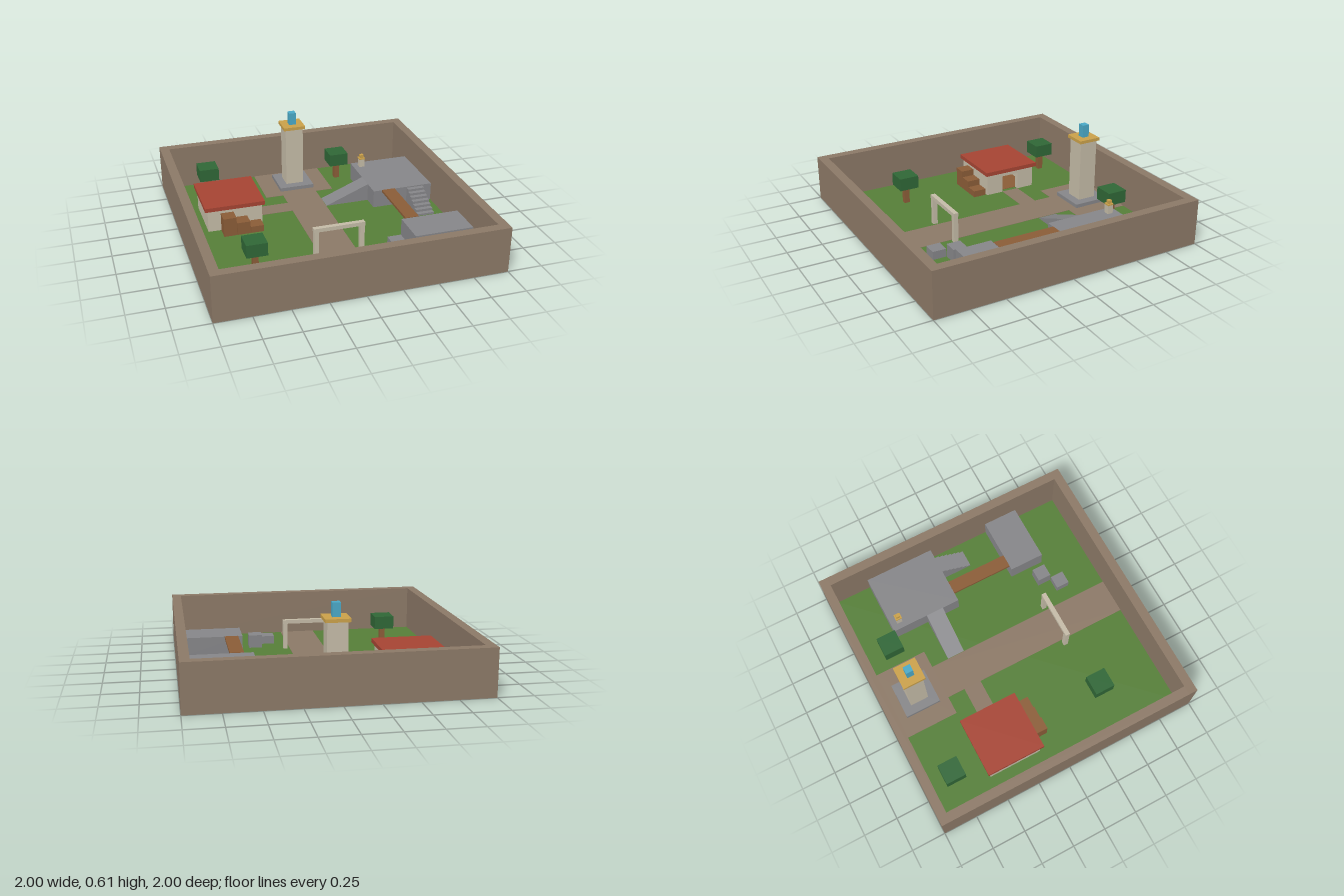
import * as THREE from 'three';

const flat = (name, color) => {
  const m = new THREE.MeshStandardMaterial({ color });
  m.name = name;
  return m;
};

export function createModel() {
  const earth = flat('earth brown', 0x8b7866);
  const grass = flat('grass green', 0x557e38);
  const stone = flat('stone grey', 0x858588);
  const roofRed = flat('roof red', 0xa54433);
  const wood = flat('wood brown', 0x8a5c37);
  const gold = flat('gold', 0xc9a049);
  const crystalBlue = flat('crystal blue', 0x4aa8c6);
  const plaster = flat('pale plaster', 0xc3baa6);
  const leaf = flat('leaf green', 0x2f6636);

  const model = new THREE.Group();
  model.name = 'walledGarden';

  // Box given by its lower and upper limits on each axis
  const box = (name, mat, x0, x1, y0, y1, z0, z1, parent = model) => {
    const mesh = new THREE.Mesh(new THREE.BoxGeometry(x1 - x0, y1 - y0, z1 - z0), mat);
    mesh.position.set((x0 + x1) / 2, (y0 + y1) / 2, (z0 + z1) / 2);
    mesh.name = name;
    parent.add(mesh);
    return mesh;
  };
  // Square-based box standing on y0
  const block = (name, mat, x, z, w, y0, y1, parent = model) =>
    box(name, mat, x - w / 2, x + w / 2, y0, y1, z - w / 2, z + w / 2, parent);
  const group = (name) => {
    const g = new THREE.Group();
    g.name = name;
    model.add(g);
    return g;
  };

  const IN = 0.933, WALL = 0.333, LOW = 0.002, DECK = 0.137;

  // Ground, paths and boundary walls
  box('lawn', grass, -IN, IN, 0.001, 0.003, -IN, IN);
  box('mainPath', earth, -0.133, 0.133, 0, 0.005, -0.533, IN);
  box('shrinePath', earth, -0.267, 0.267, 0, 0.005, -IN, -0.533);
  box('housePath', earth, -0.4, -0.133, 0, 0.005, -0.4, -0.267);
  const walls = group('boundaryWalls');
  for (const s of [-1, 1]) {
    const a = s < 0 ? -1 : IN, b = s < 0 ? -IN : 1;
    box('sideWall', earth, a, b, 0, WALL, -IN, IN, walls);
    box('endWall', earth, -1, 1, 0, WALL, a, b, walls);
  }

  // Shrine tower with crystal
  const tower = group('tower');
  block('plinth', stone, 0, -0.733, 0.267, LOW, 0.033, tower);
  block('column', plaster, 0, -0.733, 0.137, 0.033, 0.49, tower);
  block('cap', gold, 0, -0.733, 0.168, 0.49, 0.513, tower);
  block('crystal', crystalBlue, 0, -0.733, 0.053, 0.513, 0.607, tower);

  // Hollow house with a doorway on the path side
  const house = group('house');
  const H = 0.167, T = 0.033;
  box('floor', wood, -0.767, -0.433, 0, 0.006, -0.5, -0.167, house);
  box('backWall', plaster, -0.8, -0.4, 0, H, -0.533, -0.533 + T, house);
  box('frontWall', plaster, -0.8, -0.4, 0, H, -0.133 - T, -0.133, house);
  box('sideWall', plaster, -0.8, -0.8 + T, 0, H, -0.5, -0.166, house);
  box('doorWall', plaster, -0.4 - T, -0.4, 0, H, -0.5, -0.4, house);
  box('doorWall', plaster, -0.4 - T, -0.4, 0, H, -0.267, -0.166, house);
  box('lintel', plaster, -0.4 - T, -0.4, 0.133, H, -0.4, -0.267, house);
  box('roof', roofRed, -0.82, -0.38, H, 0.197, -0.555, -0.117, house);

  // Stepped crates beside the house
  [0.143, 0.097, 0.052].forEach((h, i) => {
    const x = -0.707 + i * 0.099;
    box('crate', wood, x, x + 0.094, LOW, h, -0.125, -0.026);
  });

  // Trees
  for (const [x, z] of [[-0.672, -0.767], [0.367, -0.74], [-0.6, 0.46]]) {
    const tree = group('tree');
    block('trunk', wood, x, z, 0.04, LOW, 0.133, tree);
    block('foliage', leaf, x, z, 0.147, 0.133, 0.228, tree);
  }

  // Stone terraces joined by a plank bridge
  box('backTerrace', stone, 0.467, IN, LOW, DECK, -0.667, -0.137);
  box('frontTerrace', stone, 0.5, IN, LOW, DECK, 0.333, 0.595);
  box('bridge', wood, 0.533, 0.633, DECK - 0.015, DECK + 0.003, -0.137, 0.333);

  // Ramp from the path up to the back terrace
  const slope = new THREE.Shape();
  slope.moveTo(0.133, LOW);
  slope.lineTo(0.467, LOW);
  slope.lineTo(0.467, DECK);
  const ramp = new THREE.Mesh(
    new THREE.ExtrudeGeometry(slope, { depth: 0.133, bevelEnabled: false }), stone);
  ramp.position.z = -0.4;
  ramp.name = 'ramp';
  model.add(ramp);

  // Stairs down from the back terrace
  const stairs = group('stairs');
  for (let i = 0; i < 7; i++) {
    const z = -0.137 + i * 0.0333;
    box('step', stone, 0.733, 0.863, LOW, DECK * (7 - i) / 7.5, z, z + 0.0333, stairs);
  }

  // Stepping stones
  block('steppingStone', stone, 0.387, 0.53, 0.1, LOW, 0.1);
  block('steppingStone', stone, 0.283, 0.633, 0.1, LOW, 0.063);

  // Gateway over the path
  const gate = group('gateway');
  for (const s of [-1, 1]) block('post', plaster, s * 0.165, 0.43, 0.033, LOW, 0.197, gate);
  box('beam', plaster, -0.184, 0.184, 0.197, 0.225, 0.413, 0.447, gate);

  // Lantern on the back terrace
  const lantern = group('lantern');
  block('lanternBody', plaster, 0.532, -0.6, 0.042, DECK, 0.2, lantern);
  block('lanternCap', gold, 0.532, -0.6, 0.047, 0.2, 0.21, lantern);
  block('lanternKnob', gold, 0.532, -0.6, 0.027, 0.21, 0.235, lantern);

  return model;
}
